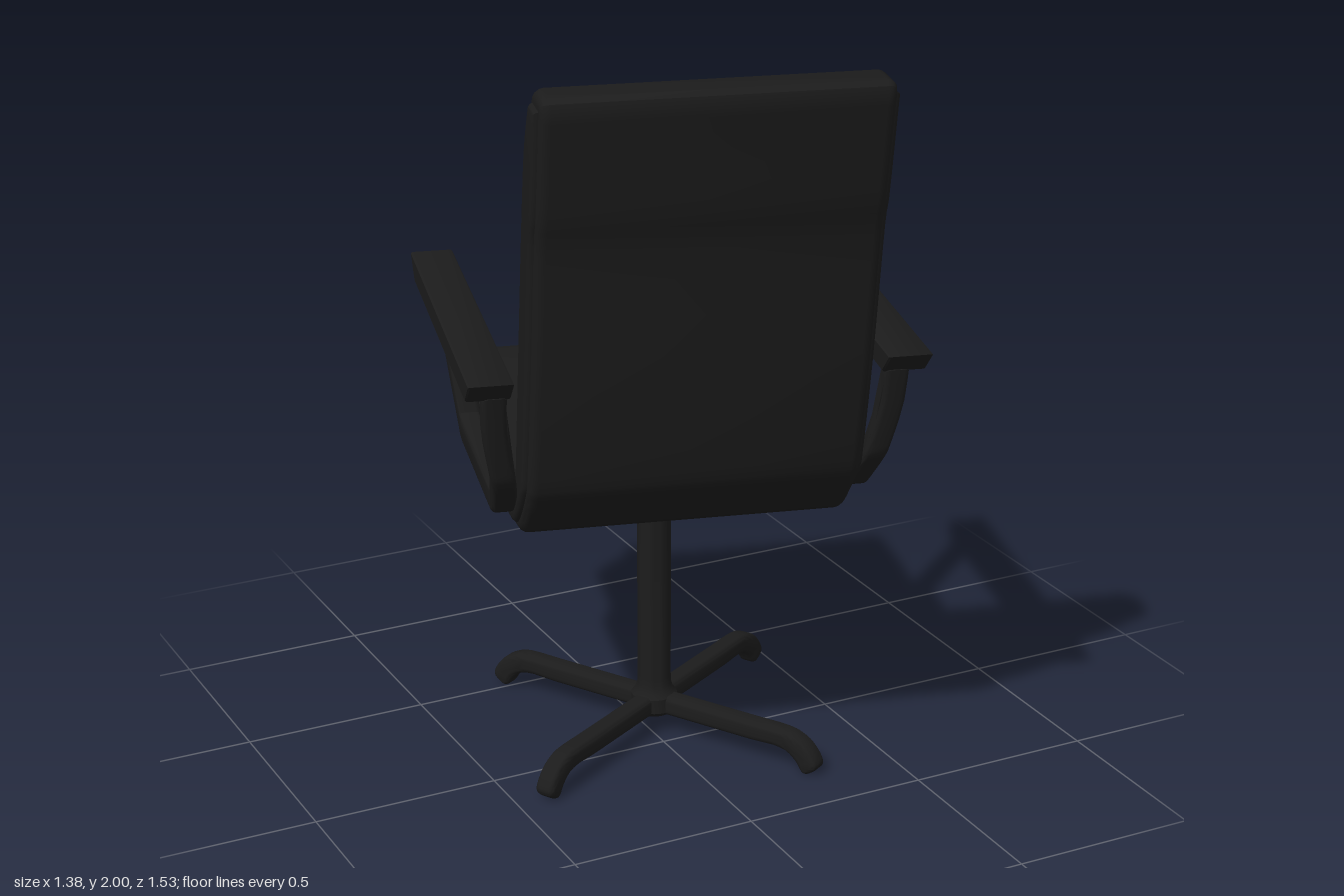
import * as THREE from 'three';
import { toCreasedNormals } from 'three/addons/utils/BufferGeometryUtils.js';

const material = new THREE.MeshStandardMaterial({ color: 0x1c1c1c });
const vec = (list) => list.map(([a, b]) => new THREE.Vector2(a, b));
const spline = (list, n) => new THREE.SplineCurve(vec(list)).getPoints(n);

// Extrudes a side outline given as (z, y) points across x, centred on x = 0
function slab(points, width, bevel, segments = 4) {
  const g = new THREE.ExtrudeGeometry(new THREE.Shape(points), {
    depth: width - 2 * bevel, bevelEnabled: bevel > 0, bevelThickness: bevel,
    bevelSize: bevel, bevelOffset: -bevel, bevelSegments: segments,
  });
  g.translate(0, 0, bevel - width / 2);
  g.rotateY(-Math.PI / 2);
  return g;
}

function add(parent, name, geometry, crease = 0.6) {
  const mesh = new THREE.Mesh(toCreasedNormals(geometry, crease), material);
  mesh.name = name;
  parent.add(mesh);
  return mesh;
}

// Underside and rear of the one-piece seat and back, front to top
const OUTER = [[-0.66, 0.752], [-0.5, 0.756], [-0.3, 0.742], [-0.05, 0.737], [0.2, 0.75], [0.28, 0.772],
  [0.35, 0.835], [0.404, 0.9], [0.437, 0.97], [0.507, 1.25], [0.575, 1.58], [0.612, 1.69], [0.65, 1.84], [0.683, 1.965]];
// Padded side: seat cushion, then three back cushions meeting at seams
const SEAT = [[-0.66, 0.925], [-0.5, 0.935], [-0.3, 0.936], [-0.05, 0.922], [0.12, 0.916], [0.25, 0.925]];
const BACK = [
  [[0.258, 0.94], [0.29, 1.07], [0.32, 1.22], [0.351, 1.315]],
  [[0.342, 1.345], [0.36, 1.43], [0.387, 1.52], [0.424, 1.6]],
  [[0.414, 1.655], [0.445, 1.77], [0.485, 1.9], [0.535, 1.97]],
];

function addSeat(chair) {
  const outer = spline(OUTER, 44);
  const inner = [...spline(SEAT, 16), ...BACK.flatMap((p) => spline(p, 8))];
  const front = vec([[-0.678, 0.915], [-0.684, 0.89], [-0.684, 0.785], [-0.678, 0.762]]);
  const top = vec([[0.68, 1.988], [0.665, 2], [0.575, 2], [0.55, 1.99]]);
  add(chair, 'seatAndBackCushion', slab([...outer, ...top, ...inner.reverse(), ...front], 0.84, 0.025));

  // Raised band following the middle of both sides
  const low = spline([[-0.645, 0.782], [-0.5, 0.785], [-0.05, 0.763], [0.19, 0.775], [0.27, 0.8],
    [0.38, 0.91], [0.412, 0.98], [0.482, 1.25], [0.555, 1.6], [0.59, 1.7], [0.655, 1.965]], 36);
  const high = spline([[0.57, 1.965], [0.505, 1.85], [0.455, 1.68], [0.38, 1.35], [0.325, 1.1],
    [0.285, 0.93], [0.23, 0.885], [-0.05, 0.892], [-0.4, 0.906], [-0.645, 0.898]], 36);
  add(chair, 'sideBand', slab([...low, ...high], 0.866, 0.015, 3));
}

// Bent support: front post, bar along the seat, rear post
function supportGeometry() {
  const outline = [
    ...vec([[-0.445, 1.2], [-0.33, 0.845]]),
    ...spline([[-0.318, 0.82], [-0.3, 0.808], [-0.27, 0.803]], 6),
    ...spline([[0.22, 0.81], [0.27, 0.83], [0.37, 0.93], [0.4, 1.0], [0.455, 1.2]], 16),
    ...spline([[0.395, 1.2], [0.345, 1.02], [0.315, 0.95], [0.24, 0.887], [0.2, 0.88]], 16),
    ...vec([[-0.26, 0.875], [-0.28, 0.885], [-0.383, 1.2]]),
  ];
  const g = slab(outline, 0.06, 0.012, 3);
  const p = g.attributes.position;
  // Lean the lower half in against the seat
  for (let i = 0; i < p.count; i++) {
    p.setX(i, p.getX(i) + 0.502 - 0.045 * THREE.MathUtils.smoothstep(1.2 - p.getY(i), 0.05, 0.38));
  }
  return g;
}

function addArms(chair) {
  const rest = vec([[-0.543, 1.255], [-0.535, 1.245], [-0.475, 1.195], [0.445, 1.195], [0.5, 1.245], [0.508, 1.255]]);
  for (const side of [1, -1]) {
    const arm = new THREE.Group();
    arm.name = side > 0 ? 'armPositiveX' : 'armNegativeX';
    chair.add(arm);
    add(arm, 'armrest', slab(rest, 0.112, 0.004, 1)).position.x = side * 0.519;
    const g = supportGeometry();
    if (side < 0) g.rotateY(Math.PI).scale(1, 1, -1);
    // Restore the winding turned over by the mirror
    if (side < 0) {
      const p = g.attributes.position, a = new THREE.Vector3(), b = new THREE.Vector3();
      for (let i = 0; i < p.count; i += 3) {
        a.fromBufferAttribute(p, i);
        b.fromBufferAttribute(p, i + 1);
        p.setXYZ(i, b.x, b.y, b.z);
        p.setXYZ(i + 1, a.x, a.y, a.z);
      }
    }
    add(arm, 'armSupport', g);
  }
}

function addBase(chair) {
  const base = new THREE.Group();
  base.name = 'base';
  base.position.z = -0.1;
  chair.add(base);
  // Column with a flared foot
  const profile = vec([[0, 0.052], [0.05, 0.052], [0.062, 0.065], [0.062, 0.105], [0.052, 0.117],
    [0.046, 0.135], [0.045, 0.16], [0.045, 0.76], [0, 0.76]]);
  add(base, 'column', new THREE.LatheGeometry(profile, 32));
  // Four feet on the diagonals, curling down at the tips
  const foot = [
    ...vec([[0, 0.055], [0.32, 0.055]]),
    ...spline([[0.39, 0.058], [0.43, 0.052], [0.46, 0.03], [0.475, 0.008], [0.49, 0], [0.51, 0.01],
      [0.525, 0.028], [0.515, 0.055], [0.485, 0.088], [0.44, 0.108], [0.39, 0.112]], 30),
    ...vec([[0.32, 0.111], [0, 0.111]]),
  ];
  for (let i = 0; i < 4; i++) {
    add(base, 'foot', slab(foot, 0.056, 0.016)).rotation.y = Math.PI / 4 + (i * Math.PI) / 2;
  }
}

export function createModel() {
  const model = new THREE.Group();
  model.name = 'officeChair';
  const chair = new THREE.Group();
  chair.name = 'turnedChair';
  chair.rotation.y = -THREE.MathUtils.degToRad(15);
  chair.position.set(-0.006, 0, 0);
  model.add(chair);
  addSeat(chair);
  addArms(chair);
  addBase(chair);
  return model;
}
